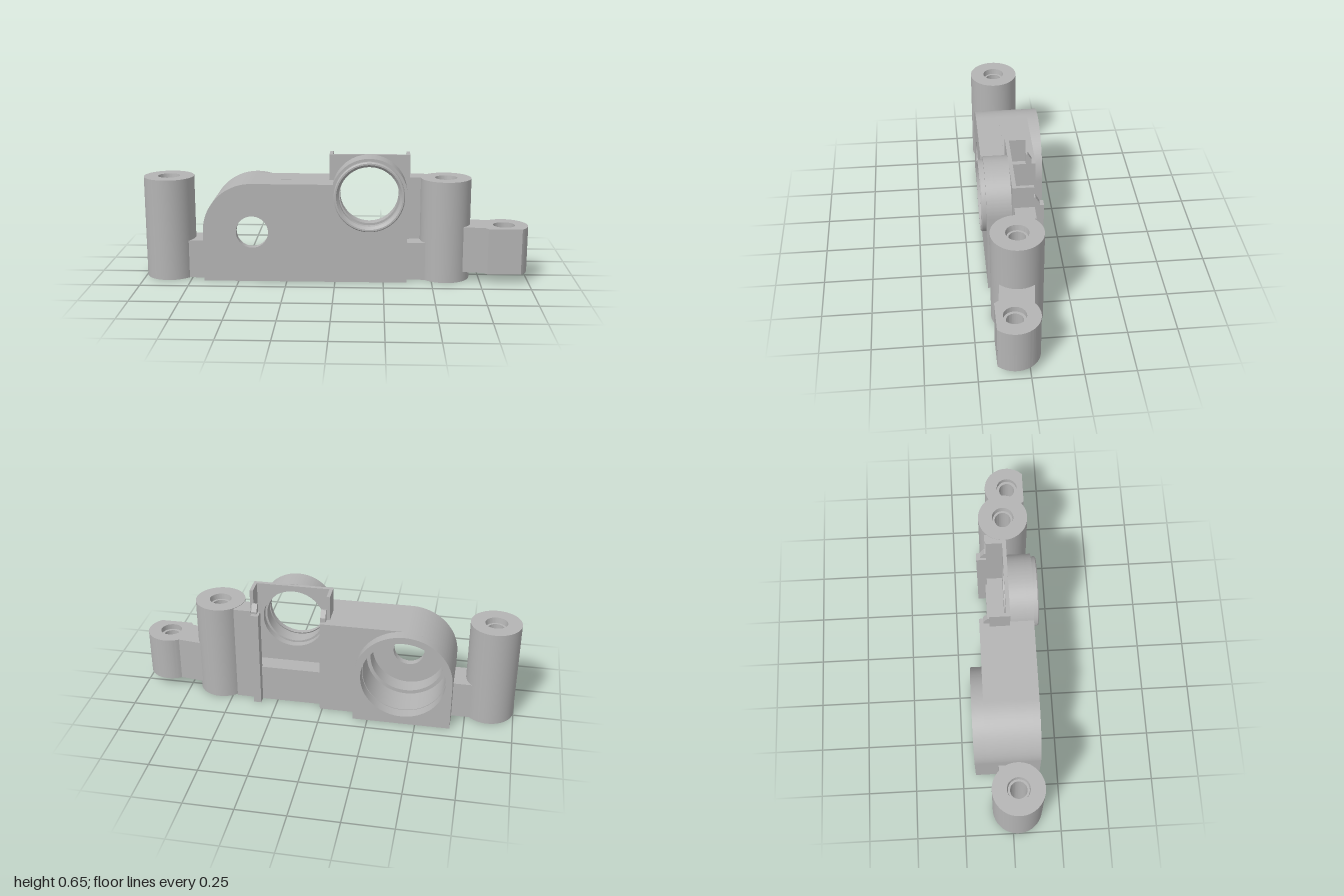
import * as THREE from 'three';
import { toCreasedNormals } from 'three/addons/utils/BufferGeometryUtils.js';

const BORE = [-0.427, 0.263]; // centre of the large rear bore (x, y)
const PORT = [0.175, 0.455]; // centre of the round front port (x, y)

export function createModel() {
  const model = new THREE.Group();
  const grey = new THREE.MeshStandardMaterial({ color: 0xb4b4b4 });
  grey.name = 'grey';

  const add = (name, geometry) => {
    const mesh = new THREE.Mesh(toCreasedNormals(geometry, 0.5), grey);
    mesh.name = name;
    model.add(mesh);
    return mesh;
  };
  const block = (name, x0, x1, y0, y1, z0, z1) =>
    add(name, new THREE.BoxGeometry(x1 - x0, y1 - y0, z1 - z0)
      .translate((x0 + x1) / 2, (y0 + y1) / 2, (z0 + z1) / 2));
  const cut = (shape, [x, y], r) => {
    shape.holes.push(new THREE.Path().absarc(x, y, r, 0, Math.PI * 2, true));
    return shape;
  };
  const slab = (name, shape, z0, z1) =>
    add(name, new THREE.ExtrudeGeometry(shape, { depth: z1 - z0, bevelEnabled: false, curveSegments: 40 })
      .translate(0, 0, z0));
  const lathe = (points) =>
    new THREE.LatheGeometry(points.map(([r, h]) => new THREE.Vector2(r, h)), 56);

  // Front outline: rounded left shoulder, round port on the right
  const frontOutline = () => {
    const s = new THREE.Shape();
    s.moveTo(-0.68, 0);
    s.lineTo(0.37, 0);
    s.absarc(...PORT, 0.195, 0, 2.83, false);
    s.lineTo(BORE[0], 0.516);
    s.absarc(...BORE, 0.253, Math.PI / 2, Math.PI, false);
    s.closePath();
    return cut(s, PORT, 0.162);
  };
  slab('frontWall', cut(frontOutline(), BORE, 0.083), 0.12, 0.157);
  slab('bodyCore', cut(frontOutline(), BORE, 0.195), 0.033, 0.12);

  // Deep left part of the body
  const rear = new THREE.Shape();
  rear.moveTo(-0.68, 0);
  rear.lineTo(0.013, 0);
  rear.lineTo(0.013, 0.516);
  rear.lineTo(BORE[0], 0.516);
  rear.absarc(...BORE, 0.253, Math.PI / 2, Math.PI, false);
  rear.closePath();
  slab('bodyRear', cut(rear, BORE, 0.215), -0.122, 0.033);

  // Arched housing around the bore
  const arch = new THREE.Shape();
  arch.moveTo(-0.68, 0);
  arch.lineTo(-0.174, 0);
  arch.absarc(...BORE, 0.253, 0, Math.PI, false);
  arch.closePath();
  slab('boreHousing', cut(arch, BORE, 0.218), -0.182, -0.122);

  // Port lip and the narrower collar inside it
  add('portLip', lathe([[0.181, 0.155], [0.181, 0.178], [0.176, 0.183], [0.168, 0.183],
    [0.155, 0.168], [0.155, 0.14], [0.181, 0.155]]).rotateX(Math.PI / 2).translate(...PORT, 0));
  add('portCollar', lathe([[0.164, 0.05], [0.164, 0.11], [0.151, 0.11], [0.151, 0.05], [0.164, 0.05]])
    .rotateX(Math.PI / 2).translate(...PORT, 0));

  // Upright plate behind the port, with its rearward flanges
  const plate = new THREE.Shape();
  plate.moveTo(-0.032, 0.2);
  plate.lineTo(0.385, 0.2);
  plate.lineTo(0.385, 0.648);
  plate.lineTo(-0.032, 0.648);
  plate.closePath();
  slab('portPlate', cut(plate, PORT, 0.162), 0.014, 0.034);
  block('plateFlangeRight', -0.032, -0.014, 0.5, 0.648, -0.071, 0.014);
  block('plateFlangeLeft', 0.367, 0.385, 0, 0.648, -0.071, 0.014);

  // Recess ledge, rear rib and pointed prongs
  block('recessLedge', 0.013, 0.367, 0, 0.2, -0.08, 0.033);
  block('rearRib', 0.333, 0.373, 0, 0.528, -0.122, -0.071);
  for (const [x0, x1] of [[-0.014, 0.013], [0.345, 0.373]]) {
    const prong = new THREE.Shape();
    prong.moveTo(0.071, 0.5);
    prong.lineTo(0.101, 0.5);
    prong.lineTo(0.101, 0.54);
    prong.lineTo(0.08, 0.576);
    prong.lineTo(0.071, 0.576);
    prong.closePath();
    add('prong', new THREE.ExtrudeGeometry(prong, { depth: x1 - x0, bevelEnabled: false })
      .rotateY(Math.PI / 2).translate(x0, 0, 0));
  }

  // Links from the body to the posts
  block('rightLink', -0.78, -0.68, 0, 0.2, -0.06, 0.105);
  block('leftWall', 0.385, 0.475, 0, 0.528, -0.075, 0.025);
  block('leftLink', 0.37, 0.475, 0, 0.2, -0.07, 0.105);

  // Screw posts with countersunk through holes
  for (const [name, x] of [['rightPost', -0.87], ['leftPost', 0.571]]) {
    add(name, lathe([[0.057, 0], [0.13, 0], [0.13, 0.53], [0.057, 0.53], [0.053, 0.5],
      [0.042, 0.5], [0.042, 0.03], [0.053, 0.03], [0.057, 0]]).translate(x, 0, 0.028));
  }

  // Flat-fronted side lug, drawn in plan
  const lug = new THREE.Shape();
  lug.moveTo(0.64, -0.12);
  lug.lineTo(0.77, -0.135);
  lug.lineTo(0.785, -0.157);
  lug.lineTo(0.957, -0.157);
  lug.absarc(0.873, -0.067, 0.123, -0.82, 2.2, false);
  lug.lineTo(0.64, 0.052);
  lug.closePath();
  cut(lug, [0.873, -0.067], 0.056);
  add('sideLug', new THREE.ExtrudeGeometry(lug, { depth: 0.24, bevelEnabled: false, curveSegments: 40 })
    .rotateX(-Math.PI / 2).translate(0, 0.05, 0));
  add('lugSleeve', lathe([[0.058, 0.08], [0.058, 0.26], [0.042, 0.26], [0.042, 0.08], [0.058, 0.08]])
    .translate(0.873, 0, 0.067));

  return model;
}
